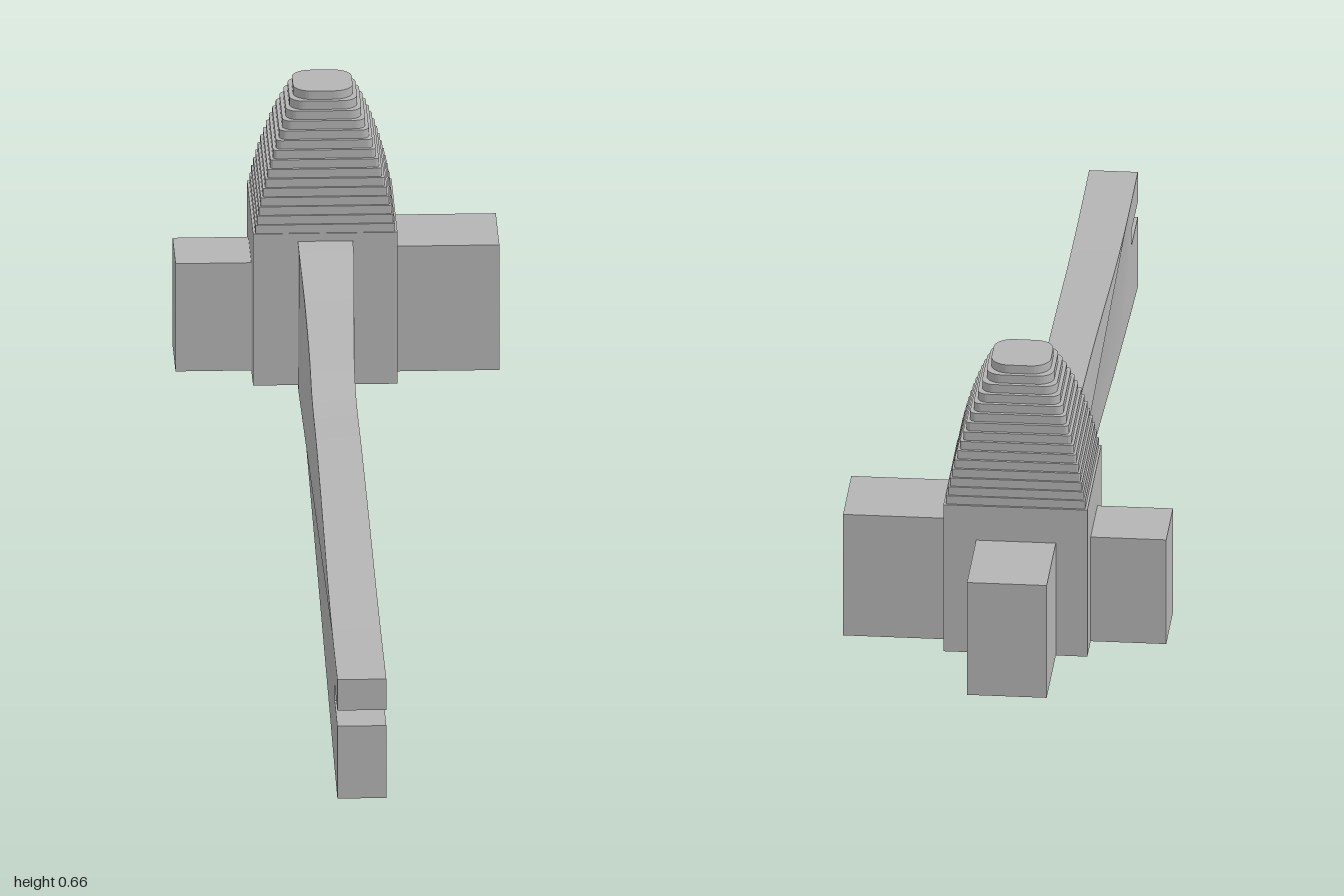
import * as THREE from 'three';
import { toCreasedNormals } from 'three/addons/utils/BufferGeometryUtils.js';

const BASE = 0.163;

export function createModel() {
  const model = new THREE.Group();
  const stone = new THREE.MeshStandardMaterial({ color: 0xb4b4b4, side: THREE.DoubleSide });
  stone.name = 'plain grey';

  const add = (parent, name, geometry, x = 0, y = 0, z = 0) => {
    const mesh = new THREE.Mesh(geometry, stone);
    mesh.name = name;
    mesh.position.set(x, y, z);
    parent.add(mesh);
    return mesh;
  };

  // Box given by its limits
  const addBox = (parent, name, x0, x1, y0, y1, z0, z1) =>
    add(parent, name, new THREE.BoxGeometry(x1 - x0, y1 - y0, z1 - z0),
      (x0 + x1) / 2, (y0 + y1) / 2, (z0 + z1) / 2);

  // Rectangle centred on the origin with rounded corners
  const roundedRect = (hx, hy, r) => {
    const s = new THREE.Shape();
    s.moveTo(hx, -hy + r);
    s.lineTo(hx, hy - r);
    s.absarc(hx - r, hy - r, r, 0, Math.PI / 2);
    s.absarc(-hx + r, hy - r, r, Math.PI / 2, Math.PI);
    s.absarc(-hx + r, -hy + r, r, Math.PI, Math.PI * 1.5);
    s.absarc(hx - r, -hy + r, r, Math.PI * 1.5, Math.PI * 2);
    return s;
  };

  // Square hub
  addBox(model, 'hub', -0.145, 0.097, BASE, 0.433, -0.83, -0.568);

  // Stepped spire, square below and rounder towards the top
  const spire = new THREE.Group();
  spire.name = 'steppedSpire';
  model.add(spire);
  const STEPS = 15, stepHeight = (0.658 - 0.433) / STEPS;
  for (let i = 0; i < STEPS; i++) {
    const t = i / (STEPS - 1);
    const shrink = 0.55 * t + 0.45 * t * t;
    const hx = 0.117 - 0.067 * shrink;
    const hz = 0.128 - 0.076 * shrink;
    const radius = 0.002 + 0.03 * t ** 3;
    const step = new THREE.ExtrudeGeometry(roundedRect(hx, hz, radius),
      { depth: stepHeight, bevelEnabled: false, curveSegments: 4 });
    step.rotateX(-Math.PI / 2);
    add(spire, 'spireStep', step, -0.024, 0.433 + i * stepHeight, -0.698);
  }

  // Side and back blocks, each with a domed socket underneath
  const addBlock = (name, x0, x1, top, z0, z1, holeX, holeZ) => {
    const block = new THREE.Group();
    block.name = name;
    model.add(block);
    const hx = (x1 - x0) / 2, hz = (z1 - z0) / 2;
    const cx = (x0 + x1) / 2, cz = (z0 + z1) / 2;
    const r = 0.05, depth = 0.055;
    const rim = new THREE.Shape();
    rim.moveTo(-hx, -hz);
    rim.lineTo(hx, -hz);
    rim.lineTo(hx, hz);
    rim.lineTo(-hx, hz);
    rim.closePath();
    const hole = new THREE.Path();
    hole.absarc(holeX, -holeZ, r, 0, Math.PI * 2, true);
    rim.holes.push(hole);
    const skirt = new THREE.ExtrudeGeometry(rim, { depth, bevelEnabled: false, curveSegments: 12 });
    skirt.rotateX(-Math.PI / 2);
    add(block, 'blockRim', skirt, cx, BASE, cz);
    addBox(block, 'blockBody', x0, x1, BASE + depth, top, z0, z1);
    const dome = new THREE.SphereGeometry(r, 12, 5, 0, Math.PI * 2, 0, Math.PI / 2);
    add(block, 'socket', dome, cx + holeX, BASE, cz + holeZ);
  };
  addBlock('rightBlock', -0.272, -0.145, 0.355, -0.768, -0.642, -0.008, 0);
  addBlock('leftBlock', 0.097, 0.27, 0.386, -0.782, -0.628, 0.028, 0);
  addBlock('backBlock', -0.092, 0.042, 0.37, -1.0, -0.83, 0, -0.028);

  // Long handle: side profile in (z, y) with a slot in the front end
  const topEdge = new THREE.SplineCurve([
    [-0.57, 0.419], [-0.5, 0.411], [-0.42, 0.385], [-0.31, 0.328], [-0.23, 0.288],
    [-0.15, 0.273], [0, 0.269], [0.2, 0.257], [0.4, 0.24], [0.6, 0.222], [0.8, 0.213], [1, 0.212],
  ].map(([z, y]) => new THREE.Vector2(z, y))).getPoints(44);
  const bottomEdge = new THREE.SplineCurve([
    [1, 0], [0.5, 0.045], [0, 0.099], [-0.4, 0.15], [-0.57, BASE],
  ].map(([z, y]) => new THREE.Vector2(z, y))).getPoints(24);
  const slot = [[1, 0.157], [0.88, 0.16], [0.88, 0.131], [1, 0.129]]
    .map(([z, y]) => new THREE.Vector2(z, y));
  const handle = new THREE.ExtrudeGeometry(
    new THREE.Shape([...topEdge, ...slot, ...bottomEdge].reverse()),
    { depth: 2, bevelEnabled: false });
  handle.translate(0, 0, -1);
  handle.rotateY(-Math.PI / 2);

  // Waist the handle: narrowest where it bends up to the hub
  const pos = handle.attributes.position;
  for (let i = 0; i < pos.count; i++) {
    const z = pos.getZ(i);
    const half = z < -0.25
      ? 0.037 + 0.009 * THREE.MathUtils.smoothstep(-z, 0.25, 0.55)
      : 0.037 + 0.004 * THREE.MathUtils.smoothstep(z, -0.25, 0.9);
    pos.setX(i, -0.024 + pos.getX(i) * half);
  }
  add(model, 'handle', toCreasedNormals(handle, 0.5));

  return model;
}
